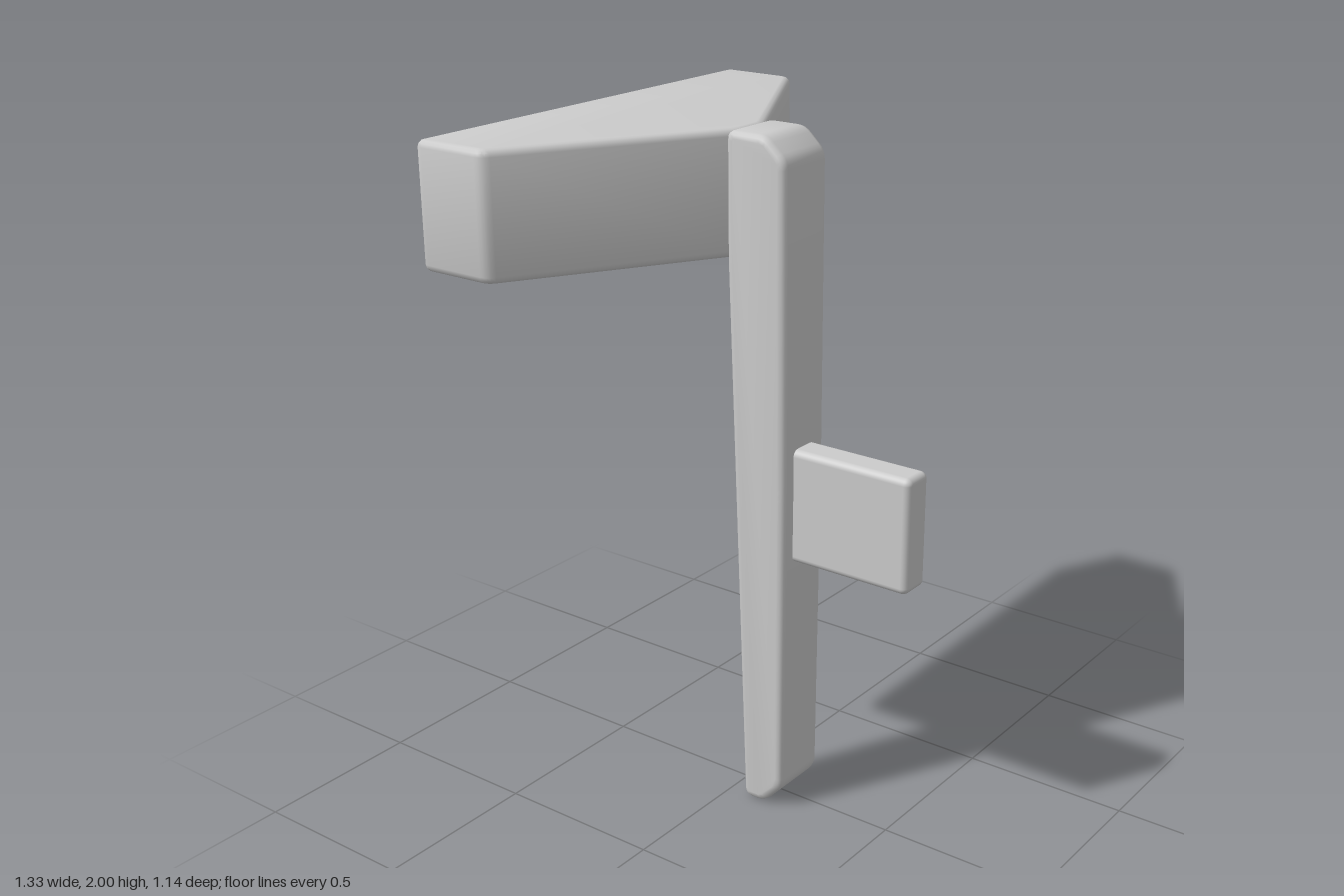
import * as THREE from 'three';
import { toCreasedNormals } from 'three/addons/utils/BufferGeometryUtils.js';
import { RoundedBoxGeometry } from 'three/addons/geometries/RoundedBoxGeometry.js';

const material = new THREE.MeshStandardMaterial({ color: 0xcccccc });
const BEVEL = 0.02;

// Closed outline through the points, each corner softened by r
function roundedShape(points, r) {
  const pts = points.map(([x, y]) => new THREE.Vector2(x, y));
  const shape = new THREE.Shape();
  pts.forEach((p, i) => {
    const prev = pts[(i + pts.length - 1) % pts.length];
    const next = pts[(i + 1) % pts.length];
    const a = prev.clone().sub(p).setLength(r).add(p);
    const b = next.clone().sub(p).setLength(r).add(p);
    if (i === 0) shape.moveTo(a.x, a.y);
    else shape.lineTo(a.x, a.y);
    shape.quadraticCurveTo(p.x, p.y, b.x, b.y);
  });
  shape.closePath();
  return shape;
}

// Slab of the given total thickness, centred on its depth, with soft edges
function softSlab(points, thickness) {
  const geometry = new THREE.ExtrudeGeometry(roundedShape(points, 0.025), {
    depth: thickness - 2 * BEVEL,
    bevelThickness: BEVEL,
    bevelSize: BEVEL,
    bevelOffset: -BEVEL,
    bevelSegments: 3,
    curveSegments: 4,
  });
  return geometry.translate(0, 0, -thickness / 2 + BEVEL);
}

function addPart(group, name, geometry) {
  const mesh = new THREE.Mesh(geometry, material);
  mesh.name = name;
  group.add(mesh);
  return mesh;
}

export function createModel() {
  const group = new THREE.Group();
  group.name = 'postWithHead';

  // Tall post: side profile (z, y), leaning back face and chamfered front ends
  const post = softSlab([
    [0.055, 0], [0.125, 0], [0.19, 0.07], [0.195, 1.0],
    [0.19, 1.94], [0.125, 2], [0, 2], [0, 1.65],
  ], 0.2).rotateY(-Math.PI / 2);
  // Slightly narrower towards the foot
  const pos = post.attributes.position;
  for (let i = 0; i < pos.count; i++) {
    pos.setX(i, pos.getX(i) * (0.95 + 0.025 * pos.getY(i)));
  }
  addPart(group, 'post', toCreasedNormals(post, 0.6));

  // Wide head: plan outline (x, z), narrowing into the post
  const head = softSlab([
    [-0.665, -0.57], [0.665, -0.57], [0.665, -0.335],
    [0.05, 0.02], [-0.05, 0.02], [-0.665, -0.335],
  ], 0.35).rotateX(Math.PI / 2).translate(0, 1.825, 0);
  addPart(group, 'head', toCreasedNormals(head, 0.6));

  // Flat handle on the front of the post
  const handle = addPart(group, 'handle', new RoundedBoxGeometry(0.1, 0.34, 0.42, 3, 0.02));
  handle.position.set(0, 0.96, 0.36);

  return group;
}
